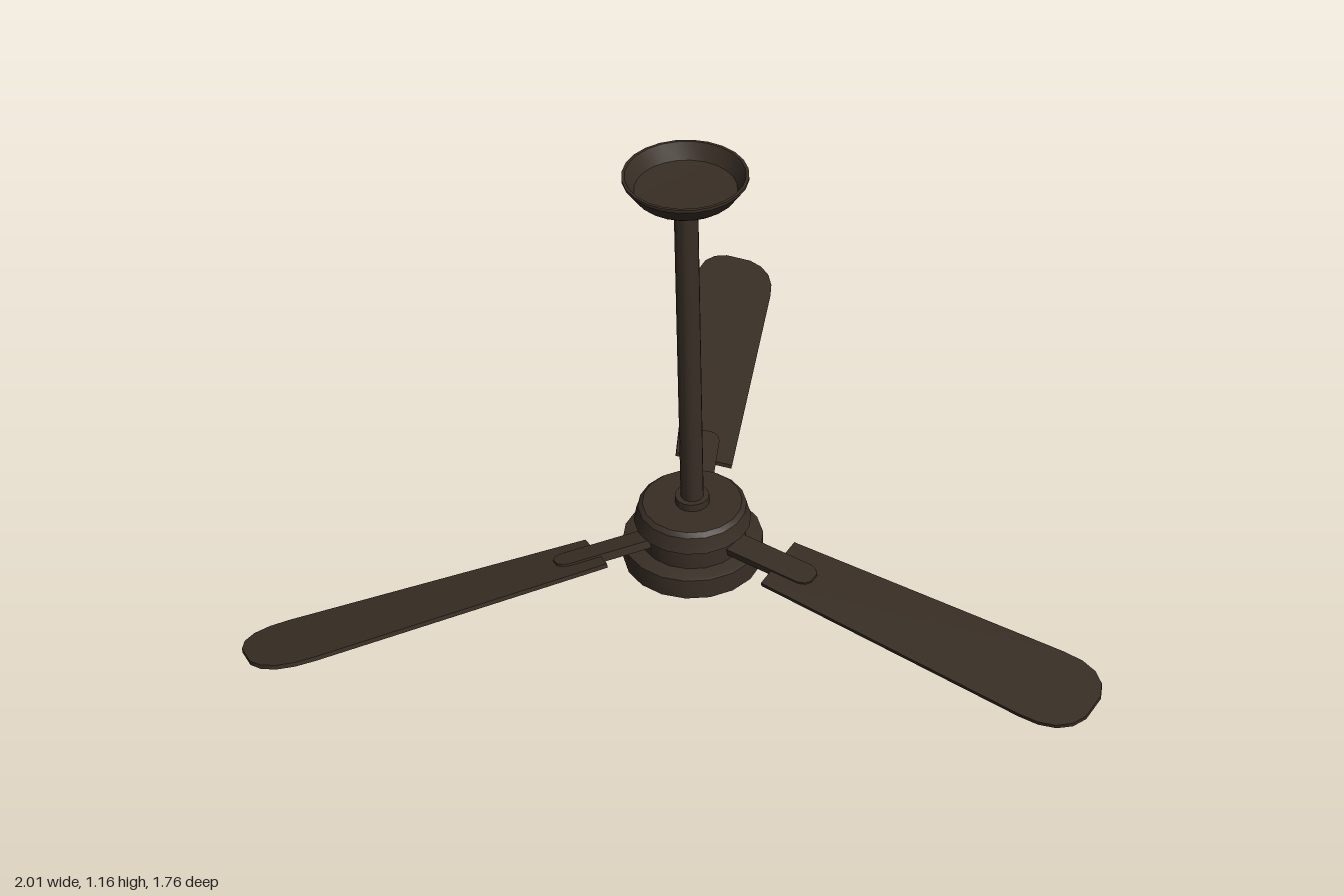
import * as THREE from 'three';
import { toCreasedNormals } from 'three/addons/utils/BufferGeometryUtils.js';

export function createModel() {
  const fan = new THREE.Group();
  fan.name = 'ceilingFan';
  const bronze = new THREE.MeshStandardMaterial({ color: 0x382e25 });
  bronze.name = 'dark bronze';

  const add = (parent, name, geometry) => {
    const mesh = new THREE.Mesh(toCreasedNormals(geometry, 0.5), bronze);
    mesh.name = name;
    parent.add(mesh);
    return mesh;
  };
  // Profiles run from the bottom up, as [radius, height]
  const turned = (name, profile, sides) =>
    add(fan, name, new THREE.LatheGeometry(profile.map(([r, y]) => new THREE.Vector2(r, y)), sides));

  // Motor: bowl and drum below, waist and flared cap above
  turned('lowerHousing', [[0, 0], [0.085, 0], [0.125, 0.018], [0.155, 0.04], [0.173, 0.045],
    [0.173, 0.1], [0.165, 0.103], [0, 0.103]], 18);
  turned('motorWaist', [[0.13, 0.1], [0.13, 0.165]], 18);
  turned('motorCap', [[0, 0.16], [0.144, 0.16], [0.138, 0.178], [0.133, 0.2], [0.122, 0.21], [0, 0.21]], 18);

  // Downrod with a collar at each end
  turned('lowerCollar', [[0, 0.205], [0.042, 0.205], [0.042, 0.23], [0, 0.23]], 18);
  turned('downrod', [[0.028, 0.2], [0.028, 1.115]], 18);
  turned('upperCollar', [[0, 1.093], [0.042, 1.093], [0.042, 1.114], [0, 1.114]], 18);

  // Ceiling canopy, a shallow cup open at the top
  turned('canopy', [[0, 1.11], [0.112, 1.11], [0.12, 1.117], [0.145, 1.153], [0.145, 1.16],
    [0.138, 1.16], [0.118, 1.122], [0, 1.12]], 24);

  // Flat plate lying along +z, centred on y = 0; half outline as [half width, distance]
  const plate = (half, thickness) => {
    const left = half.map(([w, d]) => new THREE.Vector2(-w, -d)).reverse();
    const right = half.map(([w, d]) => new THREE.Vector2(w, -d));
    const geometry = new THREE.ExtrudeGeometry(new THREE.Shape([...right, ...left]),
      { depth: thickness, bevelEnabled: false });
    return geometry.translate(0, 0, -thickness / 2).rotateX(-Math.PI / 2);
  };
  const bladeOutline = [[0.072, 0.255], [0.102, 1], [0.1, 1.05], [0.088, 1.092], [0.065, 1.122], [0.033, 1.138]];
  const armOutline = [[0.03, 0.1], [0.03, 0.335], [0.024, 0.352], [0.012, 0.362]];

  // Three pitched blades on their arms
  for (let i = 0; i < 3; i++) {
    const spoke = new THREE.Group();
    spoke.name = 'bladeAssembly' + (i + 1);
    spoke.rotation.y = (i * Math.PI * 2) / 3;
    spoke.position.y = 0.133;
    const pitch = new THREE.Group();
    pitch.name = 'pitchedBlade';
    pitch.rotation.z = 0.22;
    add(pitch, 'blade', plate(bladeOutline, 0.011));
    add(pitch, 'bladeArm', plate(armOutline, 0.022));
    spoke.add(pitch);
    fan.add(spoke);
  }

  fan.position.z = -0.265;
  const model = new THREE.Group();
  model.name = 'model';
  model.add(fan);
  return model;
}
